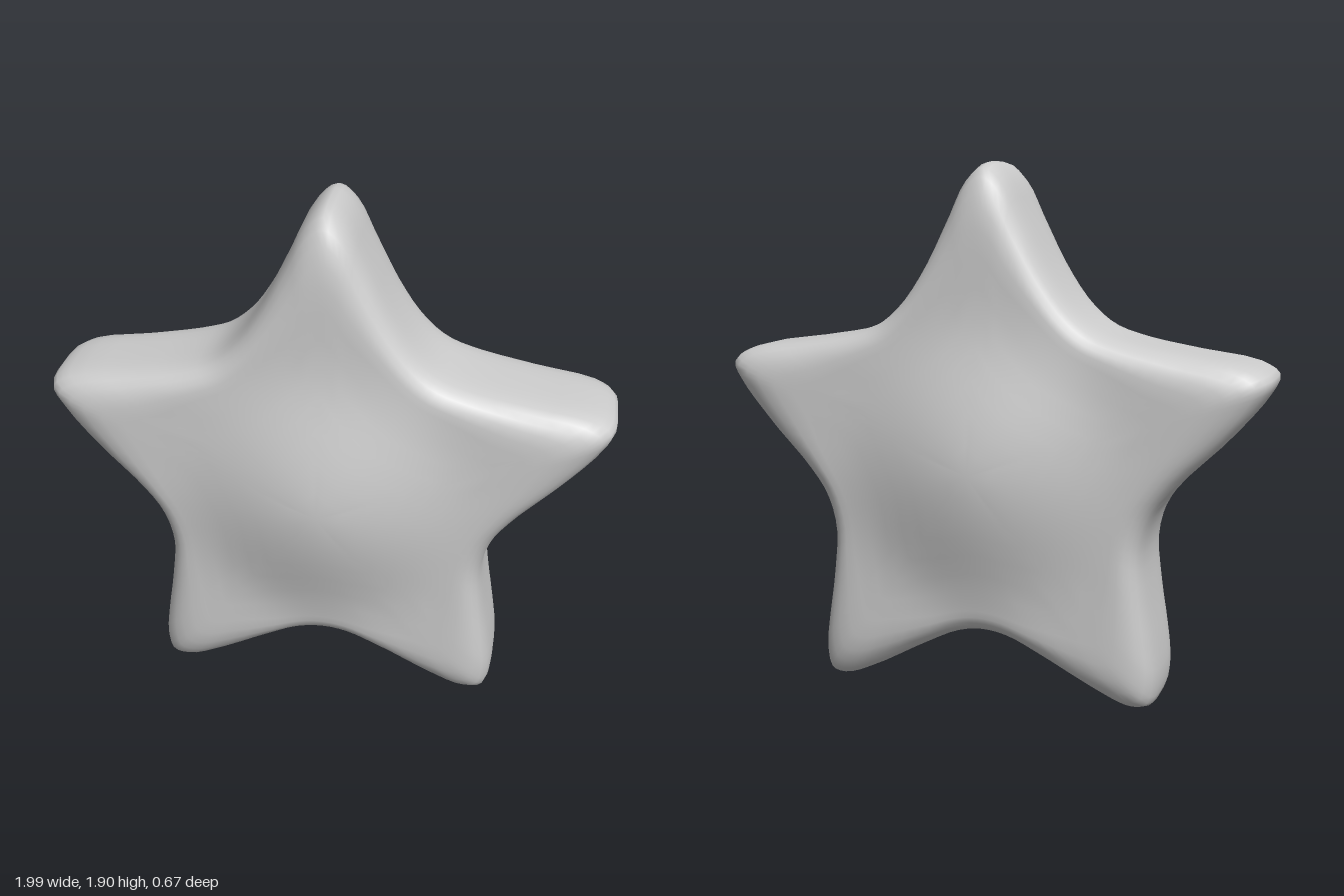
import * as THREE from 'three';

const CENTRE_Y = 0.84;
const SEGMENTS = 144;

// Right half of the outline, from the top tip to the bottom notch
const HALF = [
  [0, 1.9], [0.065, 1.85], [0.13, 1.72], [0.22, 1.54], [0.31, 1.41], [0.4, 1.335],
  [0.52, 1.295], [0.72, 1.26], [0.93, 1.225], [0.995, 1.18], [0.965, 1.11], [0.85, 0.97],
  [0.69, 0.81], [0.61, 0.7], [0.575, 0.57], [0.59, 0.4], [0.62, 0.22], [0.632, 0.1],
  [0.612, 0.015], [0.55, 0.003], [0.43, 0.05], [0.22, 0.165], [0.1, 0.222], [0, 0.238],
];

// Cross-section from the front centre to the rim: [outline scale, half depth]
const FRONT = [
  [0.1, 0.228], [0.2, 0.228], [0.3, 0.228], [0.4, 0.228], [0.5, 0.228], [0.6, 0.228],
  [0.7, 0.228], [0.78, 0.227], [0.85, 0.219], [0.905, 0.204], [0.95, 0.184],
  [0.98, 0.155], [0.995, 0.11], [1, 0.055],
];

function outline() {
  const mirrored = HALF.slice(1, -1).reverse().map(([x, y]) => [-x, y]);
  const points = [...HALF, ...mirrored].map(([x, y]) => new THREE.Vector3(x, y - CENTRE_Y, 0));
  const curve = new THREE.CatmullRomCurve3(points, true, 'centripetal');
  return Array.from({ length: SEGMENTS }, (_, i) => curve.getPoint(i / SEGMENTS));
}

// Round swelling in the middle of both faces
const dome = (r) => 0.107 * Math.max(0, 1 - (r / 0.56) ** 2) ** 2;

function starGeometry() {
  const rim = outline();
  const rows = [...FRONT, [1, 0], ...FRONT.map(([s, z]) => [s, -z]).reverse()];
  const positions = [];
  const index = [];

  for (const [scale, depth] of rows) {
    for (const p of rim) {
      // Tips are rounded more softly than the notches between them
      const softness = 0.5 + 0.5 * THREE.MathUtils.smoothstep(p.length(), 0.55, 1);
      const s = scale < 0.7 ? scale * (1 - 0.3 * softness) / 0.7 : 1 - (1 - scale) * softness;
      const z = depth + Math.sign(depth) * dome(p.length() * s) * (scale < 0.95 ? 1 : 0);
      positions.push(p.x * s, p.y * s + CENTRE_Y, z);
    }
  }
  const frontPole = rows.length * SEGMENTS;
  const backPole = frontPole + 1;
  positions.push(0, CENTRE_Y, 0.335, 0, CENTRE_Y, -0.335);

  const last = (rows.length - 1) * SEGMENTS;
  for (let j = 0; j < SEGMENTS; j++) {
    const k = (j + 1) % SEGMENTS;
    index.push(frontPole, k, j, backPole, last + j, last + k);
    for (let i = 0; i < last; i += SEGMENTS) {
      const a = i + j, b = i + k, c = a + SEGMENTS, d = b + SEGMENTS;
      index.push(a, b, c, b, d, c);
    }
  }

  const geometry = new THREE.BufferGeometry();
  geometry.setAttribute('position', new THREE.Float32BufferAttribute(positions, 3));
  geometry.setIndex(index);
  geometry.computeVertexNormals();
  return geometry;
}

export function createModel() {
  const grey = new THREE.MeshStandardMaterial({ color: 0xcccccc });
  grey.name = 'light grey';

  const star = new THREE.Mesh(starGeometry(), grey);
  star.name = 'starBody';

  const group = new THREE.Group();
  group.name = 'puffyStar';
  group.add(star);
  return group;
}
